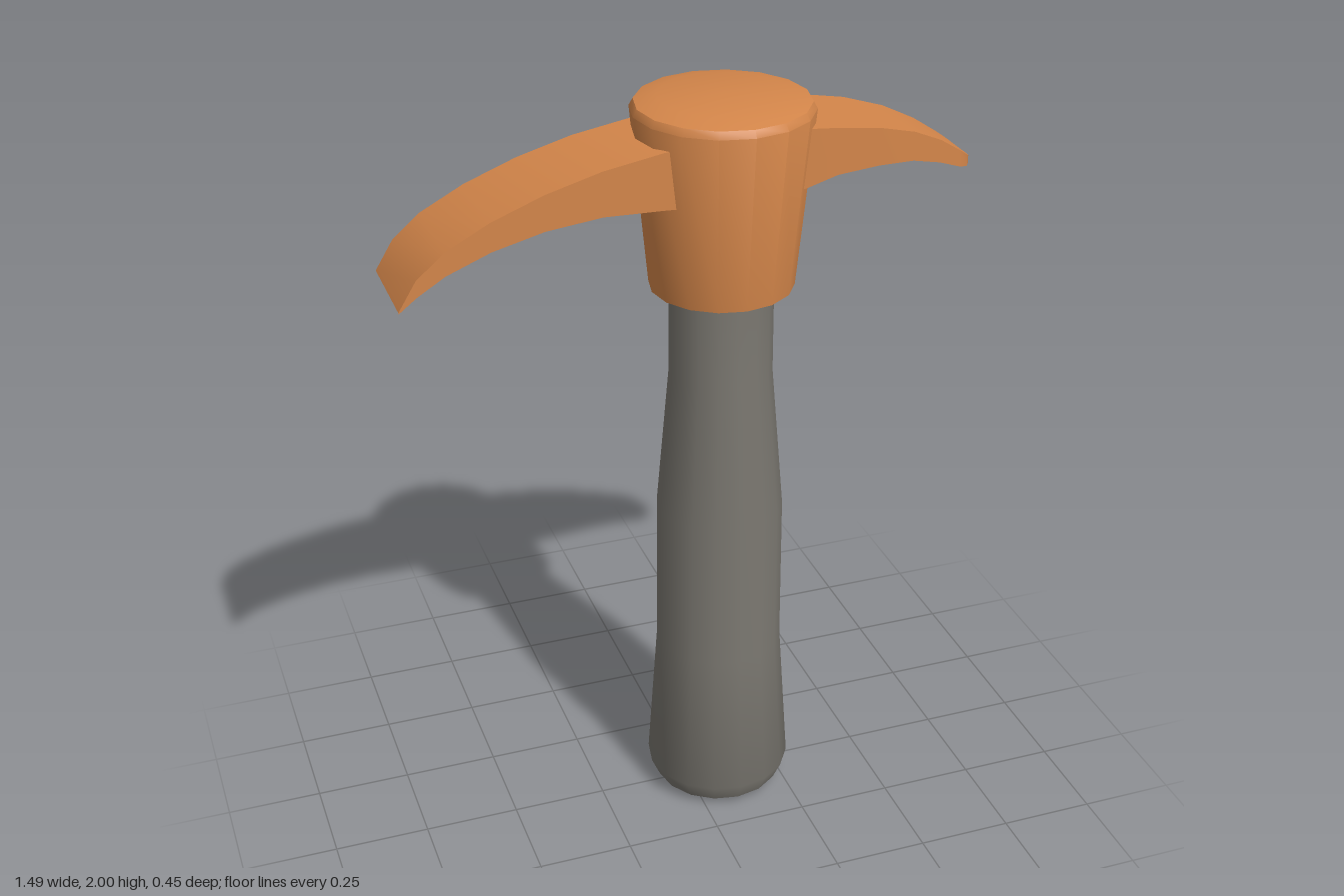
import * as THREE from 'three';
import { toCreasedNormals } from 'three/addons/utils/BufferGeometryUtils.js';

const AXIS_X = 0.09; // the handle stands off-centre because the blades differ in shape

// Solid of revolution from [radius, y] pairs, bottom to top
function turned(profile) {
  const points = profile.map(([r, y]) => new THREE.Vector2(r, y));
  return toCreasedNormals(new THREE.LatheGeometry(points, 16), 0.65);
}

// Rectangular sections [x, top, bottom, halfWidth], ordered by rising x
function blade(sections) {
  const positions = [];
  const index = [];
  sections.forEach(([x, top, bottom, w], i) => {
    positions.push(x, top, w, x, top, -w, x, bottom, -w, x, bottom, w);
    if (i === 0) return;
    for (let k = 0; k < 4; k++) {
      const a = (i - 1) * 4 + k;
      const b = (i - 1) * 4 + ((k + 1) % 4);
      index.push(a, a + 4, b, a + 4, b + 4, b);
    }
  });
  const geometry = new THREE.BufferGeometry();
  geometry.setAttribute('position', new THREE.Float32BufferAttribute(positions, 3));
  geometry.setIndex(index);
  return toCreasedNormals(geometry, 0.7);
}

export function createModel() {
  const group = new THREE.Group();
  group.name = 'handPick';

  const copper = new THREE.MeshStandardMaterial({ color: 0xd4864a });
  copper.name = 'copper orange';
  const grip = new THREE.MeshStandardMaterial({ color: 0x7a7770 });
  grip.name = 'warm grey';

  const add = (name, geometry, material, x = 0) => {
    const mesh = new THREE.Mesh(geometry, material);
    mesh.name = name;
    mesh.position.x = x;
    group.add(mesh);
  };

  // Handle with a flared, rounded butt and a slim neck
  add('handle', turned([
    [0, 0], [0.13, 0], [0.172, 0.02], [0.194, 0.07], [0.167, 0.47],
    [0.165, 0.88], [0.132, 1.27], [0.131, 1.56],
  ]), grip, AXIS_X);

  // Tapered socket with a bevelled cap
  add('head', turned([
    [0, 1.51], [0.182, 1.51], [0.225, 1.965], [0.215, 1.983], [0.16, 1.997], [0, 2],
  ]), copper, AXIS_X);

  // Broad blade curving down to a straight cutting edge
  add('broadBlade', blade([
    [-0.745, 1.612, 1.608, 0.125],
    [-0.7, 1.685, 1.643, 0.125],
    [-0.63, 1.745, 1.686, 0.125],
    [-0.52, 1.803, 1.73, 0.125],
    [-0.39, 1.853, 1.763, 0.125],
    [-0.25, 1.892, 1.779, 0.125],
    [-0.1, 1.918, 1.775, 0.125],
    [AXIS_X, 1.935, 1.765, 0.125],
  ]), copper);

  // Narrow blade tapering to a rounded tip
  add('narrowBlade', blade([
    [AXIS_X, 1.945, 1.75, 0.125],
    [0.26, 1.932, 1.783, 0.125],
    [0.34, 1.925, 1.806, 0.124],
    [0.45, 1.908, 1.812, 0.115],
    [0.55, 1.88, 1.806, 0.099],
    [0.63, 1.843, 1.785, 0.083],
    [0.69, 1.804, 1.762, 0.071],
    [0.715, 1.786, 1.756, 0.06],
    [0.73, 1.774, 1.752, 0.036],
    [0.742, 1.765, 1.75, 0.002],
  ]), copper);

  return group;
}
